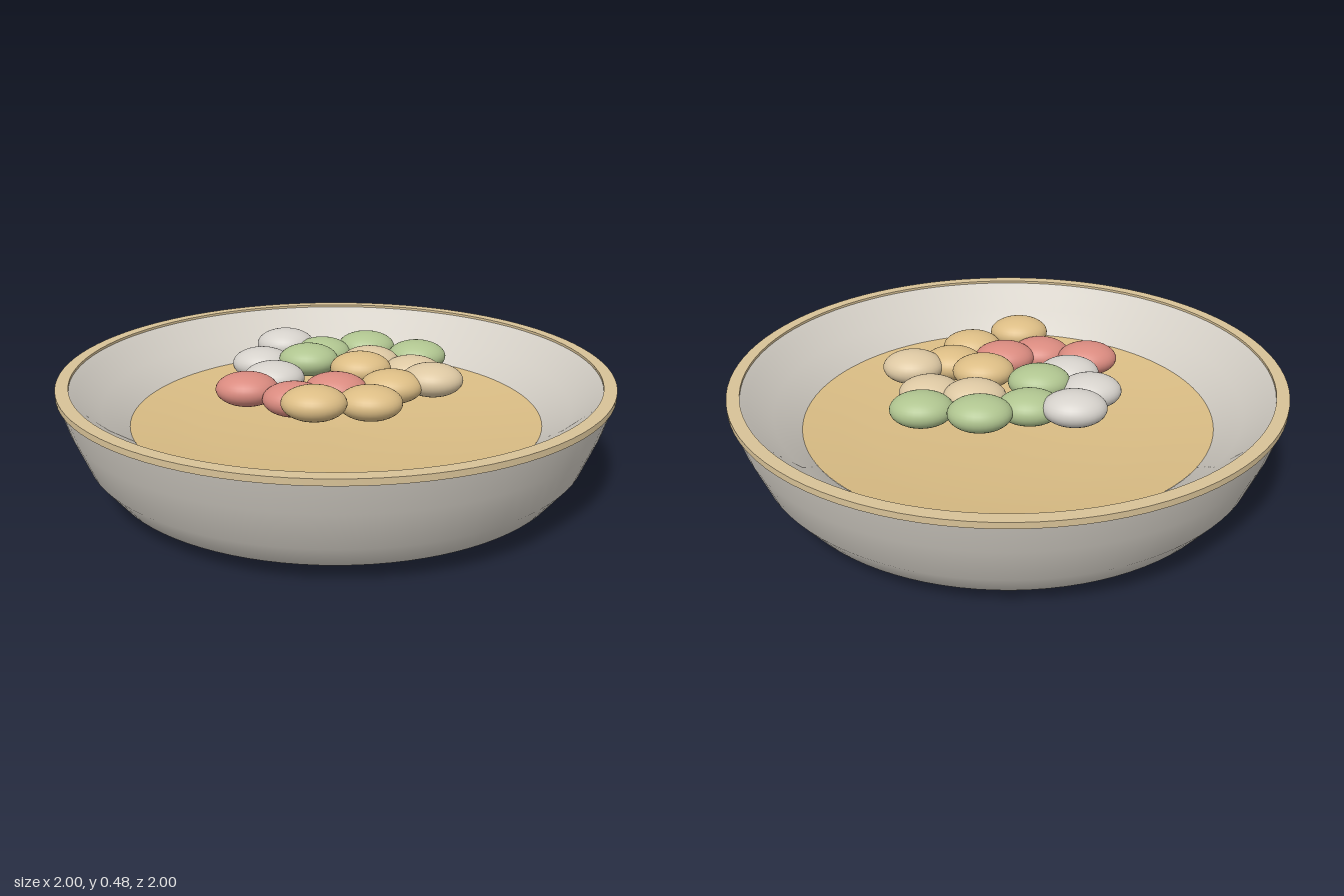
import * as THREE from 'three';
import { toCreasedNormals } from 'three/addons/utils/BufferGeometryUtils.js';

const mat = (name, color, side = THREE.FrontSide) => {
  const m = new THREE.MeshStandardMaterial({ color, side });
  m.name = name;
  return m;
};

export function createModel() {
  const group = new THREE.Group();
  const bowlGrey = mat('bowlGrey', 0xd4cfc6, THREE.DoubleSide);
  const rimTan = mat('rimTan', 0xd8c297);
  const brothTan = mat('brothTan', 0xd9bc84, THREE.DoubleSide);
  const tan = mat('tan', 0xdbbc84);
  const pale = mat('pale', 0xdcc7a2);
  const white = mat('white', 0xd5d1cb);
  const green = mat('green', 0xafc48f);
  const red = mat('red', 0xd98a7f);

  const add = (name, geometry, material) => {
    const mesh = new THREE.Mesh(geometry, material);
    mesh.name = name;
    group.add(mesh);
    return mesh;
  };
  const lathe = (pts, segments = 96) =>
    new THREE.LatheGeometry(pts.map(([r, y]) => new THREE.Vector2(r, y)), segments);

  // Outer shell, open underneath inside the foot circle
  add('bowlOuter', lathe([[0.44, 0], [0.7, 0.022], [0.84, 0.07], [0.91, 0.16],
    [0.965, 0.3], [0.995, 0.405]]), bowlGrey);

  // Inner wall and raised floor
  add('bowlInner', lathe([[0.96, 0.42], [0.93, 0.395], [0.85, 0.325], [0.755, 0.25],
    [0.72, 0.2], [0.4, 0.18], [0, 0.17]]), bowlGrey);

  // Flat rim band
  add('rim', toCreasedNormals(lathe([[0.955, 0.403], [1, 0.403], [1, 0.425],
    [0.955, 0.425], [0.955, 0.403]]), 0.6), rimTan);

  // Shallow concave surface of the filling
  add('filling', lathe([[0.755, 0.251], [0.63, 0.233], [0.5, 0.217], [0.25, 0.197], [0, 0.19]]), brothTan);

  // Pile of flattened beans: x, y, z centre and colour
  const bean = new THREE.SphereGeometry(1, 32, 20).scale(0.112, 0.06, 0.092);
  const beans = [
    [-0.22, 0.425, -0.31, white], [-0.29, 0.4, -0.125, white], [-0.225, 0.395, 0.035, white],
    [-0.07, 0.405, -0.26, green], [0.1, 0.415, -0.325, green], [0.3, 0.4, -0.26, green],
    [-0.11, 0.425, -0.1, green],
    [0.12, 0.4, -0.165, pale], [0.28, 0.385, -0.1, pale], [0.35, 0.41, 0.07, pale],
    [0.09, 0.425, -0.005, tan], [0.205, 0.4, 0.125, tan], [0.135, 0.395, 0.29, tan],
    [-0.05, 0.42, 0.375, tan],
    [-0.305, 0.395, 0.17, red], [-0.13, 0.385, 0.24, red], [0.01, 0.4, 0.17, red],
  ];
  beans.forEach(([x, y, z, m]) => add('bean', bean, m).position.set(x, y, z));

  return group;
}
